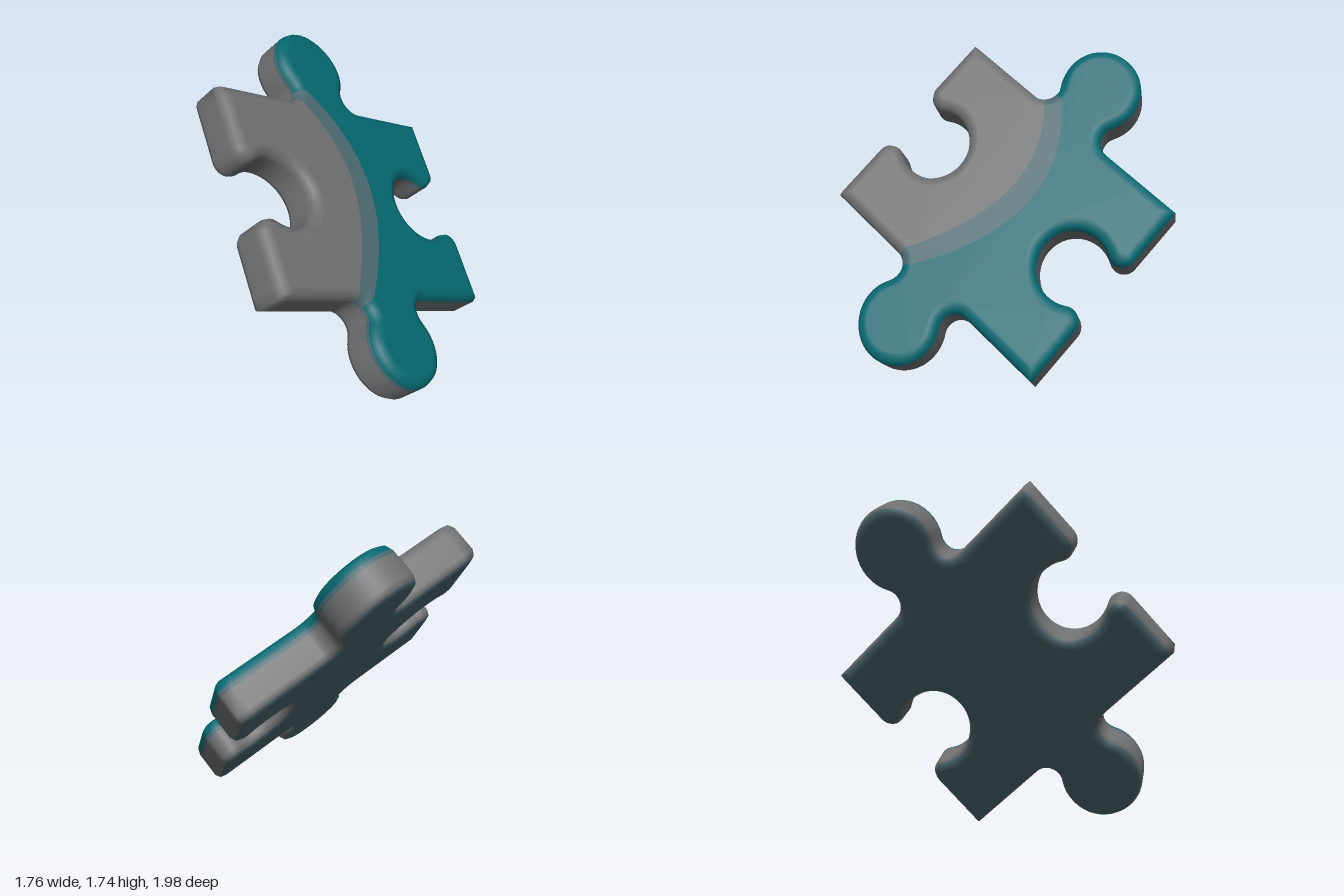
import * as THREE from 'three';

const HALF_W = 0.875, HALF_H = 0.665, TOP = 0.14, SKEW = 0.055;

// Knob profile along an edge: s runs along the edge, h points away from it
function knob(bulb, reach, fillet) {
  const a = Math.sqrt((bulb + fillet) ** 2 - (reach - fillet) ** 2);
  const t = Math.atan2(reach - fillet, a), left = [], pts = [];
  for (let i = 0; i < 9; i++) {
    const q = -Math.PI / 2 + (t + Math.PI / 2) * i / 9;
    left.push([-a + fillet * Math.cos(q), fillet + fillet * Math.sin(q)]);
  }
  pts.push(...left);
  for (let i = 0; i <= 28; i++) {
    const q = Math.PI + t - (Math.PI + 2 * t) * i / 28;
    pts.push([bulb * Math.cos(q), reach + bulb * Math.sin(q)]);
  }
  pts.push(...left.reverse().map(([s, h]) => [-s, h]));
  return pts;
}

// One edge: corner, straight run, knob, straight run
function edge(half, shift, profile) {
  const k = profile.map(([s, h]) => [s + shift, h]);
  const s0 = k[0][0], s1 = k[k.length - 1][0], a = half - 0.08, pts = [[-half, 0]];
  for (let i = 0; i < 5; i++) pts.push([-a + (s0 + a) * i / 5, 0]);
  pts.push(...k);
  for (let i = 1; i <= 5; i++) pts.push([s1 + (a - s1) * i / 5, 0]);
  return pts;
}

// Counter-clockwise outline: tab side, socket side, then both turned by 180 degrees
function outline() {
  const tab = knob(0.265, 0.297, 0.1);
  const socket = knob(0.23, 0.26, 0.09).map(([s, h]) => [s, -h]);
  const half = [
    ...edge(HALF_W, 0.005, tab).map(([s, h]) => [-s, HALF_H + h]),
    ...edge(HALF_H, 0, socket).map(([s, h]) => [-HALF_W - h, -s]),
  ].map(([x, y]) => new THREE.Vector2(x - SKEW * y, y));
  return [...half, ...half.map(p => p.clone().negate())];
}

// Mitred inward offset of a closed outline
function inset(pts, d) {
  const n = pts.length;
  return pts.map((p, i) => {
    const a = p.clone().sub(pts[(i + n - 1) % n]).normalize();
    const b = pts[(i + 1) % n].clone().sub(p).normalize();
    const m = new THREE.Vector2(-a.y - b.y, a.x + b.x).normalize();
    return p.clone().addScaledVector(m, d / Math.max(0.5, -m.x * a.y + m.y * a.x));
  });
}

export function createModel() {
  const mat = (name, color) => Object.assign(new THREE.MeshStandardMaterial({ color }), { name });
  const gray = mat('warm gray', 0x6d6f70);
  const teal = mat('deep teal', 0x05676f);
  const slate = mat('slate blend', 0x4b6870);

  const base = outline(), n = base.length;
  const profile = [[0.07, -TOP], [0.05, -TOP], [0.016, 0.014 - TOP], [0, 0.048 - TOP],
    [0, TOP - 0.085], [0, TOP - 0.06], [0.014, TOP - 0.018], [0.05, TOP], [0.07, TOP]];
  const rings = profile.map(([d]) => inset(base, d));
  const cap = rings[rings.length - 1];

  // Points where the colour curves meet the rim
  const nearest = (x, y) => {
    const q = new THREE.Vector2(x, y);
    return cap.reduce((best, p, i) => p.distanceTo(q) < cap[best].distanceTo(q) ? i : best, 0);
  };
  const tealTop = nearest(-0.16, 0.74), grayTop = nearest(-0.24, 0.64);
  const grayEnd = nearest(-0.22, -0.6), tealEnd = nearest(-0.14, -0.67);

  const piece = new THREE.Group();
  piece.name = 'puzzlePiece';
  const add = (geo, material, name) => {
    const m = new THREE.Mesh(geo, material);
    m.name = name;
    piece.add(m);
    return m;
  };

  // Rounded rim, coloured by strip and by side
  const pos = [], faces = [[], [], []];
  rings.forEach((r, k) => r.forEach(p => pos.push(p.x, p.y, profile[k][1])));
  for (let k = 0; k < rings.length - 1; k++) {
    for (let i = 0; i < n; i++) {
      const j = (i + 1) % n;
      const onGray = i >= grayTop && i < grayEnd;
      const onTeal = i < tealTop || i >= tealEnd;
      let c = 0;
      if (k < 2) c = 2;
      else if (k === 4 && !onGray) c = 2;
      else if (k > 4 && !onGray) c = onTeal ? 1 : 2;
      const a = k * n + i, b = k * n + j;
      faces[c].push(a, b, b + n, a, b + n, a + n);
    }
  }
  const rim = new THREE.BufferGeometry();
  rim.setAttribute('position', new THREE.Float32BufferAttribute(pos, 3));
  rim.setIndex(faces.flat());
  let start = 0;
  faces.forEach((f, c) => { rim.addGroup(start, f.length, c); start += f.length; });
  rim.computeVertexNormals();
  add(rim, [gray, teal, slate], 'roundedRim');

  // Top face in three regions parted by two bowed curves
  const bow = (i, j, x) => new THREE.QuadraticBezierCurve(
    cap[i], new THREE.Vector2(x, 0.18), cap[j]).getPoints(24).slice(1, -1);
  const inner = bow(grayTop, grayEnd, 0.21), outer = bow(tealTop, tealEnd, 0.43);
  const face = (pts, material, name) => {
    add(new THREE.ShapeGeometry(new THREE.Shape(pts)), material, name).position.z = TOP;
  };
  face([...cap.slice(grayTop, grayEnd + 1), ...[...inner].reverse()], gray, 'grayTopFace');
  face([...cap.slice(tealEnd), ...cap.slice(0, tealTop + 1), ...outer], teal, 'tealTopFace');
  face([...cap.slice(tealTop, grayTop + 1), ...inner,
    ...cap.slice(grayEnd, tealEnd + 1), ...[...outer].reverse()], slate, 'blendBand');

  // Underside
  const under = new THREE.ShapeGeometry(new THREE.Shape(rings[0].map(p => new THREE.Vector2(p.x, -p.y))));
  under.rotateX(Math.PI);
  add(under, slate, 'underside').position.z = -TOP;

  // Tilt the piece so it stands on its lowest edge
  const X = new THREE.Vector3(0.732, -0.424, -0.533).normalize();
  const Y = new THREE.Vector3(0.645, 0.682, 0.342).cross(X).normalize();
  const Z = X.clone().cross(Y);
  piece.quaternion.setFromRotationMatrix(new THREE.Matrix4().makeBasis(X, Y, Z));

  const model = new THREE.Group();
  model.name = 'tiltedPuzzlePiece';
  model.add(piece);
  const box = new THREE.Box3().setFromObject(model, true);
  const c = box.getCenter(new THREE.Vector3());
  piece.position.set(-c.x, -box.min.y, -c.z);
  return model;
}
